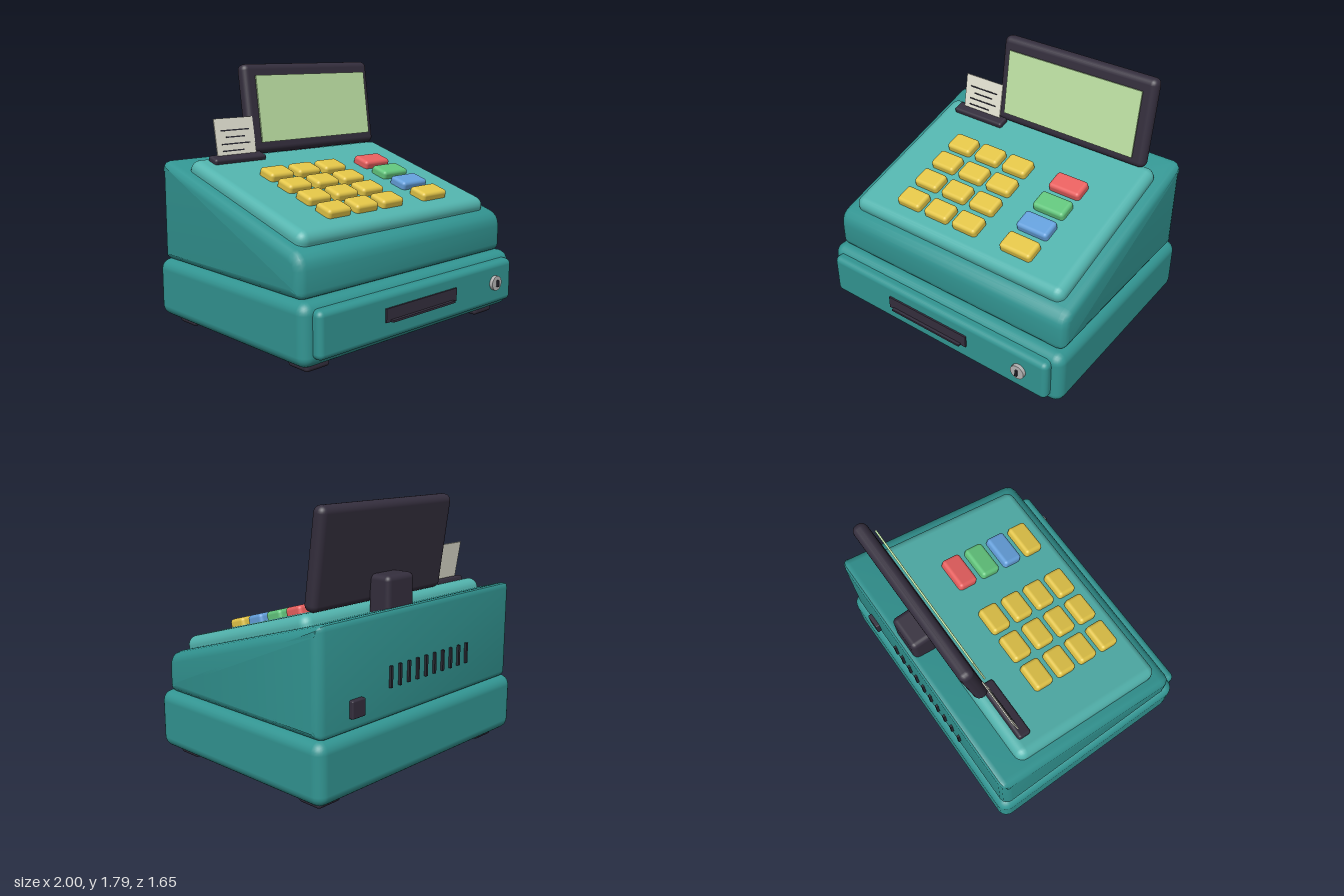
import * as THREE from 'three';
import { RoundedBoxGeometry } from 'three/addons/geometries/RoundedBoxGeometry.js';
import { toCreasedNormals } from 'three/addons/utils/BufferGeometryUtils.js';

const paint = (color) => new THREE.MeshStandardMaterial({ color });
const teal = paint(0x329592), lightTeal = paint(0x52b3ad), dark = paint(0x342e3d), ink = paint(0x2a2a33);
const yellow = paint(0xe3c548), red = paint(0xe8605f), green = paint(0x62c57c), blue = paint(0x649fdb);
const glass = paint(0xc0e4a6), paper = paint(0xe6e5d5), steel = paint(0xb5b5b5);

function add(parent, name, geometry, material, x = 0, y = 0, z = 0) {
  const mesh = new THREE.Mesh(geometry, material);
  mesh.name = name;
  mesh.position.set(x, y, z);
  parent.add(mesh);
  return mesh;
}
const rounded = (w, h, d, r, segments = 3) => new RoundedBoxGeometry(w, h, d, segments, r);
const box = (w, h, d) => new THREE.BoxGeometry(w, h, d);

function group(parent, name, x, y, z, tilt) {
  const g = new THREE.Group();
  g.name = name;
  g.position.set(x, y, z);
  g.rotation.x = tilt;
  parent.add(g);
  return g;
}

// Side outline (z, y) with softened corners, extruded across the width
function wedge(corners, radii, width, bevel) {
  const shape = new THREE.Shape();
  const pts = corners.map(([x, y]) => new THREE.Vector2(x, y));
  pts.forEach((p, i) => {
    const toward = (q) => q.clone().sub(p).setLength(radii[i]).add(p);
    const a = toward(pts[(i + pts.length - 1) % pts.length]);
    const b = toward(pts[(i + 1) % pts.length]);
    if (i) shape.lineTo(a.x, a.y); else shape.moveTo(a.x, a.y);
    shape.quadraticCurveTo(p.x, p.y, b.x, b.y);
  });
  shape.closePath();
  const geometry = new THREE.ExtrudeGeometry(shape, {
    depth: width - 2 * bevel, curveSegments: 4, bevelSegments: 3,
    bevelSize: bevel, bevelThickness: bevel, bevelOffset: -bevel,
  });
  geometry.translate(0, 0, bevel - width / 2);
  geometry.rotateY(-Math.PI / 2);
  return toCreasedNormals(geometry, 0.6);
}

export function createModel() {
  const register = new THREE.Group();
  register.name = 'cashRegister';

  // Drawer base and feet
  add(register, 'base', rounded(2, 0.405, 1.555, 0.075), teal, 0, 0.2575, -0.0475);
  for (const x of [-0.805, 0.805]) {
    for (const z of [0.55, -0.63]) {
      add(register, 'foot', rounded(0.195, 0.08, 0.185, 0.025, 2), dark, x, 0.04, z);
    }
  }

  // Drawer front with its handle and lock
  add(register, 'drawerFront', rounded(1.86, 0.305, 0.2, 0.04), teal, 0, 0.267, 0.69);
  add(register, 'drawerHandle', box(0.68, 0.09, 0.024), dark, -0.045, 0.28, 0.79);
  add(register, 'handleLip', box(0.6, 0.014, 0.03), dark, -0.045, 0.242, 0.81);
  const lock = add(register, 'lock', new THREE.CylinderGeometry(0.052, 0.052, 0.03, 24), steel, 0.725, 0.275, 0.8);
  lock.rotation.x = Math.PI / 2;
  add(register, 'keyhole', box(0.015, 0.045, 0.03), ink, 0.725, 0.275, 0.815);

  // Sloped body
  add(register, 'body', wedge(
    [[0.66, 0.455], [0.66, 0.723], [-0.79, 1.155], [-0.79, 0.455]],
    [0.05, 0.09, 0.05, 0.04], 1.94, 0.06), teal);

  // Raised sloping panel; its top face is local y = 0
  const slope = 0.288;
  const panel = group(register, 'keyPanel', 0, 1.003, 0, slope);
  add(panel, 'panelPlate', rounded(1.76, 0.16, 1.22, 0.065), lightTeal, 0, -0.08, 0.005);

  // Keypad
  const columns = [-0.46, -0.217, 0.025];
  const functionKeys = [red, green, blue, yellow];
  functionKeys.forEach((material, row) => {
    const z = (-0.165 + row * 0.187) / Math.cos(slope);
    for (const x of columns) add(panel, 'numberKey', rounded(0.2, 0.09, 0.145, 0.025), yellow, x, 0.01, z);
    add(panel, 'functionKey', rounded(0.245, 0.09, 0.145, 0.025), material, 0.447, 0.01, z);
  });

  // Receipt slot and printed receipt
  add(panel, 'receiptSlot', rounded(0.435, 0.06, 0.095, 0.018, 2), dark, -0.548, 0.005, -0.5);
  const receipt = group(register, 'receipt', -0.545, 1.285, -0.505, -0.17);
  add(receipt, 'receiptPaper', box(0.33, 0.3, 0.008), paper);
  [[0, 0.24], [0, 0.16], [0, 0.24], [-0.03, 0.18]].forEach(([x, w], i) => {
    add(receipt, 'printedLine', box(w, 0.009, 0.004), ink, x, 0.065 - i * 0.047, 0.006);
  });

  // Tilted display and its support
  const display = group(register, 'display', 0.2025, 1.477, -0.585, -0.14);
  add(display, 'displayFrame', rounded(1.225, 0.64, 0.1, 0.045), dark);
  add(display, 'displayGlass', box(1.065, 0.475, 0.012), glass, 0, -0.005, 0.073);
  add(register, 'displayStand', rounded(0.255, 0.3, 0.17, 0.035), dark, 0.2025, 1.192, -0.67);

  // Rear vents and power socket
  for (let i = 0; i < 10; i++) {
    add(register, 'vent', box(0.018, 0.14, 0.03), ink, -0.44 + i * 0.0872, 0.725, -0.792);
  }
  add(register, 'powerSocket', rounded(0.115, 0.115, 0.04, 0.01, 2), dark, 0.657, 0.6, -0.8);

  return register;
}
